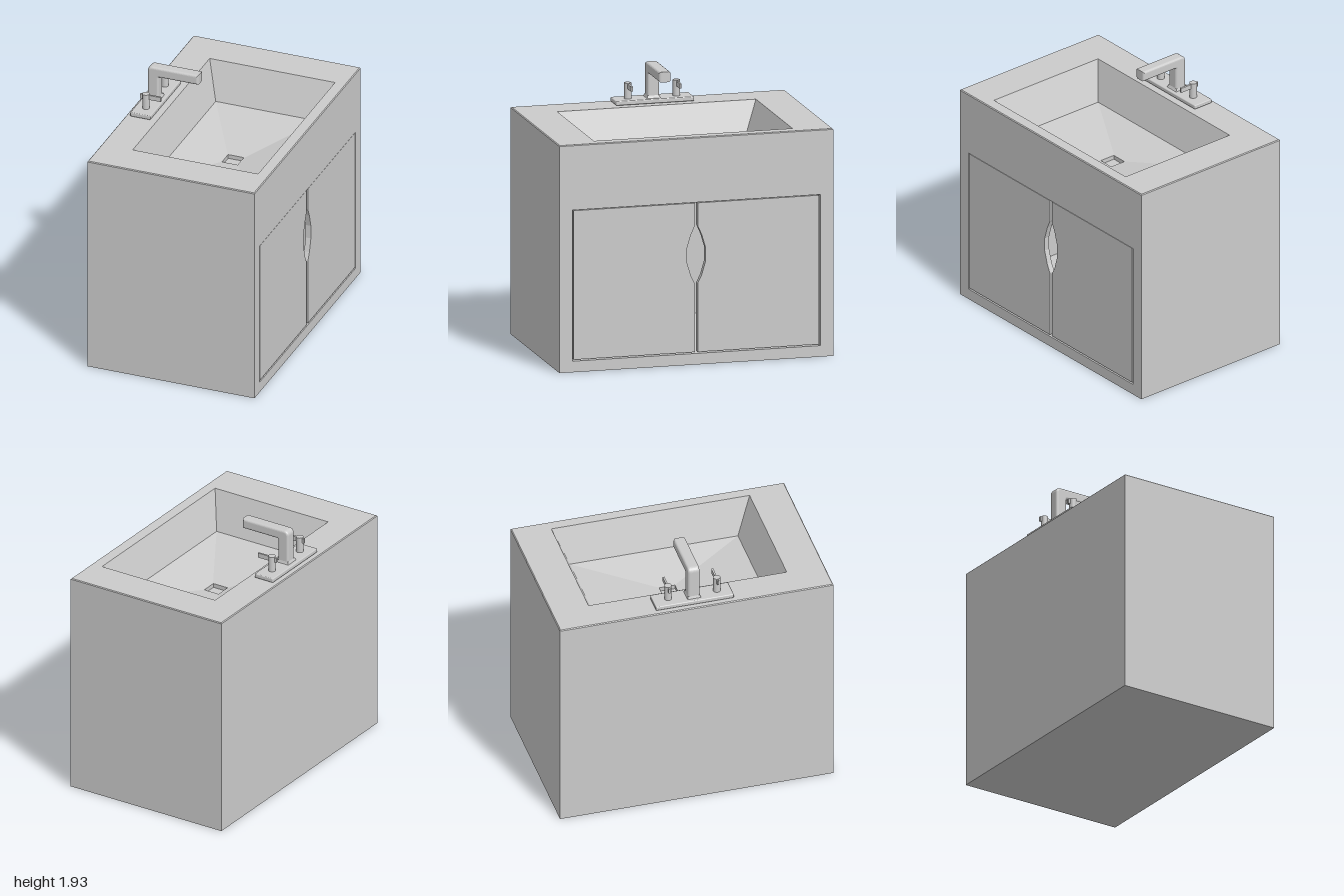
import * as THREE from 'three';
import { RoundedBoxGeometry } from 'three/addons/geometries/RoundedBoxGeometry.js';

const X = 0.633, SEAM = 1.2, TOP = 1.64;

export function createModel() {
  const model = new THREE.Group();
  const material = new THREE.MeshStandardMaterial({ color: 0xcccccc });

  function add(name, geometry, x = 0, y = 0, z = 0) {
    const mesh = new THREE.Mesh(geometry, material);
    mesh.name = name;
    mesh.position.set(x, y, z);
    model.add(mesh);
    return mesh;
  }

  const shapeOf = pts => new THREE.Shape(pts.map(p => new THREE.Vector2(...p)));

  // Extrude a side profile (horizontal = -z, vertical = y) along +x
  const extrudeX = (shape, depth) =>
    new THREE.ExtrudeGeometry(shape, { depth, bevelEnabled: false }).rotateY(Math.PI / 2);

  // Join rectangular rings [y, x0, x1, z0, z1] with flat-shaded faces
  function rectLoft(rings) {
    const corners = rings.map(([y, x0, x1, z0, z1]) =>
      [[x0, y, z1], [x1, y, z1], [x1, y, z0], [x0, y, z0]]);
    const pos = [];
    for (let r = 0; r < rings.length - 1; r++) {
      for (let i = 0; i < 4; i++) {
        const j = (i + 1) % 4, a = corners[r], b = corners[r + 1];
        pos.push(...a[i], ...a[j], ...b[j], ...a[i], ...b[j], ...b[i]);
      }
    }
    const g = new THREE.BufferGeometry();
    g.setAttribute('position', new THREE.Float32BufferAttribute(pos, 3));
    g.computeVertexNormals();
    return g;
  }

  // Hollow cabinet: a frame open toward +x, closed by a back panel
  const frame = shapeOf([[-1, 0], [1, 0], [1, SEAM], [-1, SEAM]]);
  frame.holes.push(new THREE.Path(
    [[-0.905, 0.08], [-0.905, 1.17], [0.905, 1.17], [0.905, 0.08]].map(p => new THREE.Vector2(...p))));
  add('cabinetFrame', extrudeX(frame, 2 * X - 0.04), -X + 0.04);
  add('cabinetBack', new THREE.BoxGeometry(0.04, SEAM, 2), -X + 0.02, SEAM / 2);

  // Countertop block with sloping basin and recessed square drain
  add('countertopAndBasin', rectLoft([
    [SEAM, -X, X, -1, 1],
    [TOP - 0.006, -X, X, -1, 1],
    [TOP, -X + 0.006, X - 0.006, -0.994, 0.994],
    [TOP, -0.4, 0.55, -0.725, 0.725],
    [1.37, -0.31, 0.465, -0.615, 0.615],
    [1.29, 0, 0.135, -0.066, 0.066],
    [1.29, 0.008, 0.127, -0.058, 0.058],
    [1.26, 0.008, 0.127, -0.058, 0.058],
    [1.26, 0.067, 0.067, 0, 0],
  ]));

  // Pair of doors, each with half of the lens-shaped hand grip
  const doorProfile = [
    [0.011, 0.09], [0.895, 0.09], [0.895, 1.165], [0.011, 1.165],
    [0.011, 1.0], [0.04, 0.935], [0.068, 0.84],
    [0.068, 0.74], [0.04, 0.645], [0.011, 0.585],
  ];
  for (const [name, s] of [['frontDoor', -1], ['rearDoor', 1]]) {
    const shape = shapeOf(doorProfile.map(([u, v]) => [s * u, v]));
    add(name, extrudeX(shape, 0.04), X - 0.042);
  }

  // Faucet base plate
  add('faucetPlate', new RoundedBoxGeometry(0.155, 0.032, 0.57, 2, 0.007), -0.522, 1.66, -0.003);

  // Spout: rounded L-shaped bar with a small flared foot
  const b = 0.016;
  const spout = new THREE.Shape();
  spout.moveTo(-0.565 + b, 1.67);
  spout.lineTo(-0.48 - b, 1.67);
  spout.lineTo(-0.48 - b, 1.83 + b);
  spout.quadraticCurveTo(-0.48 - b, 1.855 + b, -0.455 - b, 1.855 + b);
  spout.lineTo(-0.18 - b, 1.855 + b);
  spout.lineTo(-0.18 - b, 1.93 - b);
  spout.lineTo(-0.545 + b, 1.93 - b);
  spout.quadraticCurveTo(-0.565 + b, 1.93 - b, -0.565 + b, 1.91 - b);
  spout.closePath();
  const depth = 0.086 - 2 * b;
  add('spout', new THREE.ExtrudeGeometry(spout, {
    depth, bevelThickness: b, bevelSize: b, bevelSegments: 4, curveSegments: 8,
  }), 0, 0, -depth / 2);
  add('spoutFoot', rectLoft([
    [1.672, -0.574, -0.468, -0.052, 0.052],
    [1.682, -0.57, -0.475, -0.047, 0.047],
    [1.695, -0.565, -0.48, -0.043, 0.043],
  ]));

  // Two handles: round post with a thin flat lever
  for (const [name, s] of [['frontHandle', 1], ['rearHandle', -1]]) {
    const z = s * 0.178;
    add(name + 'Post', new THREE.CylinderGeometry(0.026, 0.026, 0.12, 24), -0.52, 1.73, z);
    add(name + 'Lever', new THREE.BoxGeometry(0.155, 0.035, 0.014), -0.483, 1.766, z);
  }

  return model;
}
